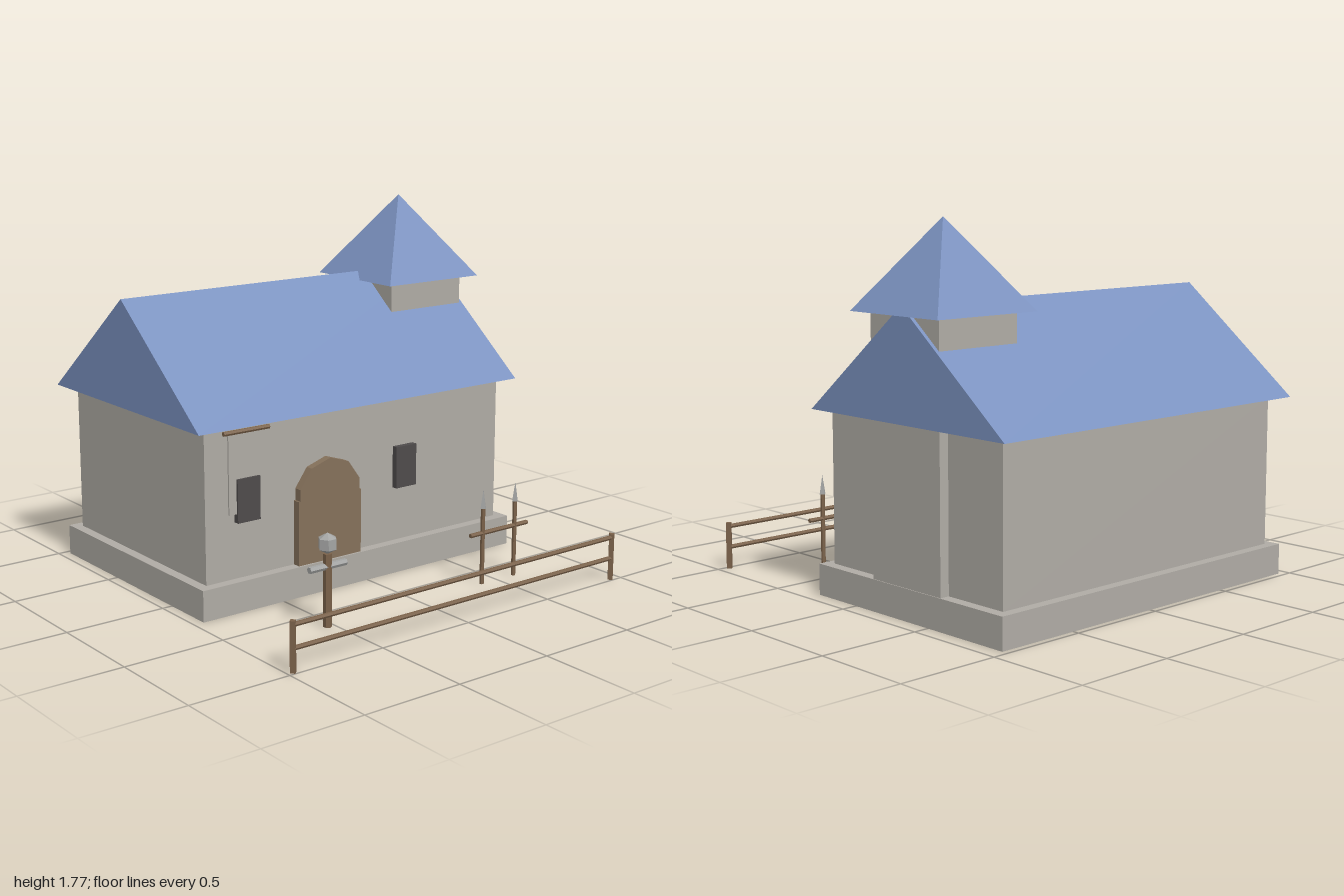
import * as THREE from 'three';

function material(name, color) {
  const m = new THREE.MeshStandardMaterial({ color, flatShading: true });
  m.name = name;
  return m;
}

export function createModel() {
  const group = new THREE.Group();
  const stone = material('stone', 0xafaba4);
  const slate = material('blue slate', 0x7b92c0);
  const doorWood = material('door wood', 0x84705a);
  const timber = material('timber', 0x7b624a);
  const glass = material('dark glass', 0x4e4b4b);
  const metal = material('grey metal', 0xa3a4a3);

  function add(name, geometry, mat, x = 0, y = 0, z = 0) {
    const mesh = new THREE.Mesh(geometry, mat);
    mesh.name = name;
    mesh.position.set(x, y, z);
    group.add(mesh);
    return mesh;
  }
  // Box from its minimum and maximum corners
  function box(name, mat, [x0, y0, z0], [x1, y1, z1]) {
    return add(name, new THREE.BoxGeometry(x1 - x0, y1 - y0, z1 - z0), mat,
      (x0 + x1) / 2, (y0 + y1) / 2, (z0 + z1) / 2);
  }
  // Upright pole standing on the ground
  function pole(name, r, h, sides, x, z) {
    return add(name, new THREE.CylinderGeometry(r, r, h, sides), timber, x, h / 2, z);
  }
  // Horizontal bar along x
  function bar(name, mat, r, x0, x1, y, z) {
    const g = new THREE.CylinderGeometry(r, r, x1 - x0, 6).rotateZ(Math.PI / 2);
    return add(name, g, mat, (x0 + x1) / 2, y, z);
  }

  // Building
  box('plinth', stone, [-0.95, 0, -0.97], [0.925, 0.15, 0.27]);
  box('walls', stone, [-0.9, 0.15, -0.92], [0.873, 0.88, 0.22]);
  box('tower', stone, [0.465, 0.15, -0.58], [0.921, 1.36, -0.125]);

  // Gabled roof, a triangular prism along x
  const gable = new THREE.Shape([
    new THREE.Vector2(-0.645, 0), new THREE.Vector2(0.645, 0), new THREE.Vector2(0, 0.52),
  ]);
  const roof = new THREE.ExtrudeGeometry(gable, { depth: 1.91, bevelEnabled: false });
  roof.rotateY(Math.PI / 2);
  add('roof', roof, slate, -0.97, 0.88, -0.355);

  // Pyramid spire
  const spire = new THREE.ConeGeometry(0.292 * Math.SQRT2, 0.415, 4).rotateY(Math.PI / 4);
  add('spire', spire, slate, 0.694, 1.36 + 0.2075, -0.353);

  // Door with a faceted arch
  box('door', doorWood, [-0.405, 0.15, 0.215], [-0.035, 0.465, 0.26]);
  const arch = new THREE.Shape();
  [[-0.176, 0], [0.176, 0]].forEach(([x, y], i) => (i ? arch.lineTo(x, y) : arch.moveTo(x, y)));
  for (let i = 0; i < 5; i++) {
    const a = THREE.MathUtils.degToRad(18 + 36 * i);
    arch.lineTo(0.185 * Math.cos(a), 0.185 * Math.sin(a));
  }
  add('doorArch', new THREE.ExtrudeGeometry(arch, { depth: 0.045, bevelEnabled: false }),
    doorWood, -0.22, 0.465, 0.215);

  // Windows
  for (const x of [-0.678, 0.257]) {
    box('window', glass, [x - 0.0625, 0.422, 0.215], [x + 0.0625, 0.63, 0.25]);
  }

  // Hanging banner
  box('banner', stone, [-0.782, 0.465, 0.232], [-0.576, 0.85, 0.24]);
  bar('bannerRod', timber, 0.011, -0.807, -0.555, 0.85, 0.237);

  // Lantern post
  pole('lanternPost', 0.02, 0.345, 6, -0.535, 0.65);
  add('lantern', new THREE.SphereGeometry(0.05, 6, 3), metal, -0.535, 0.393, 0.65);
  bar('lanternCrossbar', metal, 0.016, -0.637, -0.432, 0.286, 0.65);

  // Pair of spears on a rack
  for (const x of [0.402, 0.611]) {
    pole('spearShaft', 0.011, 0.385, 6, x, 0.65);
    add('spearTip', new THREE.ConeGeometry(0.018, 0.095, 4), metal, x, 0.427, 0.65);
  }
  bar('spearRack', timber, 0.011, 0.322, 0.694, 0.256, 0.65);

  // Fence
  for (const x of [-0.971, 0.943]) pole('fencePost', 0.017, 0.232, 4, x, 0.983);
  for (const y of [0.108, 0.213]) bar('fenceRail', timber, 0.011, -0.971, 0.943, y, 0.983);

  return group;
}
